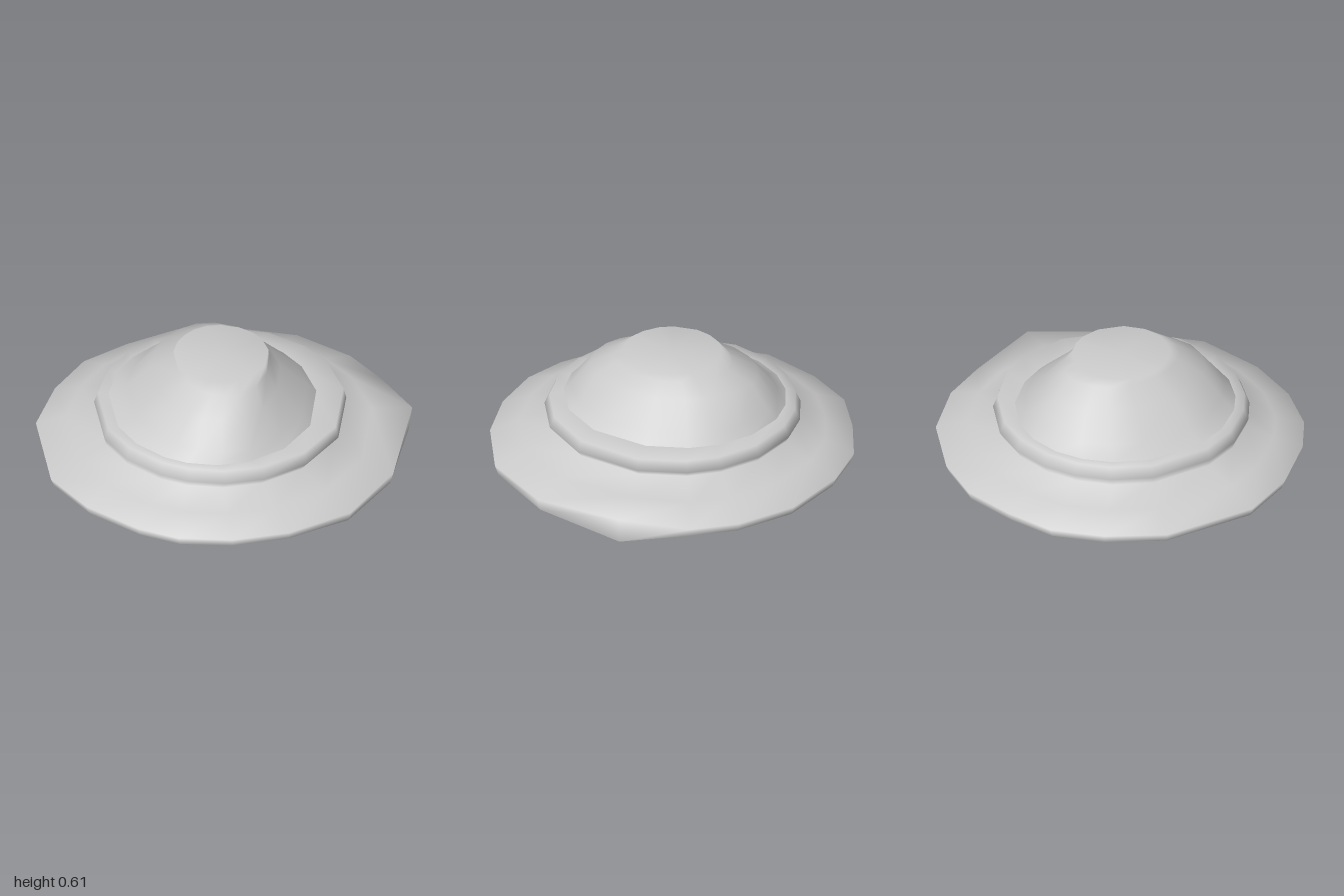
import * as THREE from 'three';

// Irregular brim outline [x, z], running from +x round by the back
const OUTLINE = [
  [1, 0], [0.89, -0.37], [0.76, -0.6], [0.51, -0.83], [0.16, -0.96], [-0.12, -0.98],
  [-0.4, -0.89], [-0.65, -0.77], [-0.84, -0.55], [-0.99, -0.25], [-0.99, 0.27], [-0.84, 0.55],
  [-0.6, 0.79], [-0.4, 0.91], [-0.12, 0.97], [0.19, 0.95], [0.54, 0.82], [0.82, 0.5],
];
const N = OUTLINE.length;

// The lip at +x is bent: deeper below and raised above
const BOTTOM_Y = { 0: 0, 16: 0.027, 17: 0.017 };
const bottomRing = OUTLINE.map(([x, z], i) => [x * 0.98, BOTTOM_Y[i] ?? 0.035, z * 0.98]);
const lipRing = OUTLINE.map(([x, z], i) => [x, i === 0 ? 0.145 : 0.085, z]);

// Oval ring between x0 and x1, with half depth rz; pinch flattens its right part
function oval(y, x0, x1, rz, pinch = 1) {
  const cx = (x0 + x1) / 2, rx = (x1 - x0) / 2;
  return OUTLINE.map(([px, pz]) => {
    const a = Math.atan2(pz, px);
    const x = cx + rx * Math.cos(a);
    return [x, y, rz * Math.sin(a) * (x > 0.14 ? pinch : 1)];
  });
}

// Skin rings from bottom to top, with optional centre points closing the ends
function loft(name, rings, { top, bottom } = {}) {
  const pos = rings.flat(2), index = [];
  for (let r = 0; r < rings.length - 1; r++) {
    for (let i = 0; i < N; i++) {
      const a = r * N + i, b = r * N + (i + 1) % N;
      index.push(a, b, b + N, a, b + N, a + N);
    }
  }
  const fan = (centre, start, up) => {
    const c = pos.length / 3;
    pos.push(...centre);
    for (let i = 0; i < N; i++) {
      const a = start + i, b = start + (i + 1) % N;
      index.push(c, up ? a : b, up ? b : a);
    }
  };
  if (top) fan(top, (rings.length - 1) * N, true);
  if (bottom) fan(bottom, 0, false);
  const geo = new THREE.BufferGeometry();
  geo.setAttribute('position', new THREE.Float32BufferAttribute(pos, 3));
  geo.setIndex(index);
  geo.computeVertexNormals();
  const mesh = new THREE.Mesh(geo, new THREE.MeshStandardMaterial({ color: 0xcccccc }));
  mesh.name = name;
  return mesh;
}

export function createModel() {
  const group = new THREE.Group();
  group.name = 'saucer';

  // Brim slope, with a dip before the raised lip at +x
  const waist = oval(0.21, -0.7, 0.61, 0.665);
  const slope = lipRing.map((p, i) => p.map((v, k) => (v + waist[i][k]) / 2));
  slope[0] = [0.78, 0.162, 0];

  group.add(
    loft('underside', [bottomRing], { bottom: [-0.1, 0.035, 0] }),
    // Brim rising into the rounded collar and its flat upper ledge
    loft('brimAndCollar', [
      bottomRing, lipRing, slope, waist,
      oval(0.25, -0.71, 0.645, 0.687),
      oval(0.312, -0.69, 0.63, 0.66),
      oval(0.312, -0.61, 0.47, 0.58),
    ]),
    // Crown, fuller on one side, ending in a flat top
    loft('crown', [
      oval(0.31, -0.635, 0.485, 0.6),
      oval(0.36, -0.53, 0.435, 0.56, 0.95),
      oval(0.495, -0.4, 0.29, 0.455, 0.9),
      oval(0.57, -0.28, 0.228, 0.33, 0.92),
      oval(0.61, -0.285, 0.225, 0.262),
    ], { top: [-0.02, 0.61, 0] }),
  );
  return group;
}
